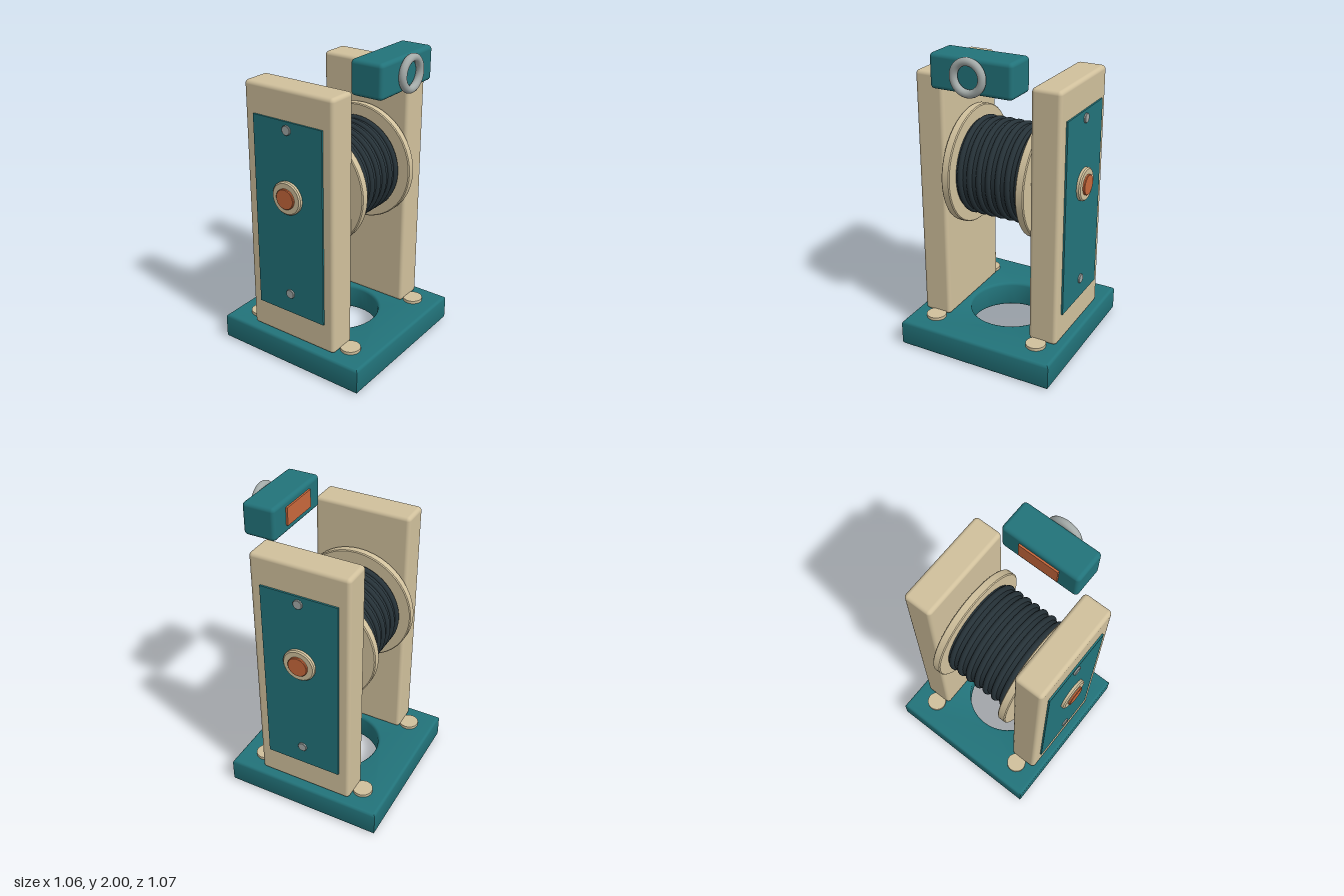
import * as THREE from 'three';
import { RoundedBoxGeometry } from 'three/addons/geometries/RoundedBoxGeometry.js';
import { toCreasedNormals } from 'three/addons/utils/BufferGeometryUtils.js';

const mat = (color) => new THREE.MeshStandardMaterial({ color });
const teal = mat(0x22737a), sand = mat(0xd0c09c), cable = mat(0x263238);
const orange = mat(0xc8683c), steel = mat(0xa3aaa8);
const AXIS_Y = 1.16;

export function createModel() {
  const model = new THREE.Group();
  model.name = 'cableReel';

  const add = (name, geometry, material, x = 0, y = 0, z = 0) => {
    const mesh = new THREE.Mesh(geometry, material);
    mesh.name = name;
    mesh.position.set(x, y, z);
    model.add(mesh);
    return mesh;
  };
  // Box given by its size, with rounded edges
  const rounded = (w, h, d, r) => new RoundedBoxGeometry(w, h, d, 3, r);
  // Disc along x with a small bevel on both rims
  const discX = (radius, width, bevel) => {
    const h = width / 2;
    const profile = [
      [0, -h], [radius - bevel, -h], [radius, -h + bevel],
      [radius, h - bevel], [radius - bevel, h], [0, h],
    ].map(([r, y]) => new THREE.Vector2(r, y));
    return toCreasedNormals(new THREE.LatheGeometry(profile, 48), 0.5).rotateZ(-Math.PI / 2);
  };

  // Base plate with a round opening and softened edges
  const bevel = 0.02, half = 0.53 - bevel;
  const plate = new THREE.Shape([
    [-half, -half], [half, -half], [half, half], [-half, half],
  ].map(([x, y]) => new THREE.Vector2(x, y)));
  const opening = new THREE.Path();
  opening.absarc(0, 0, 0.27 + bevel, 0, Math.PI * 2, true);
  plate.holes.push(opening);
  const baseGeometry = new THREE.ExtrudeGeometry(plate, {
    depth: 0.175 - 2 * bevel, bevelSize: bevel, bevelThickness: bevel,
    bevelSegments: 3, curveSegments: 24,
  });
  baseGeometry.rotateX(-Math.PI / 2);
  add('base', toCreasedNormals(baseGeometry, 0.7), teal, 0, bevel, 0);

  // Uprights with their side plates, screws, hubs and foot pegs
  for (const s of [1, -1]) {
    const side = s > 0 ? 'left' : 'right';
    add(`${side}Upright`, rounded(0.19, 1.645, 0.64, 0.025), sand, s * 0.385, 0.9975, 0);
    add(`${side}SidePlate`, new THREE.BoxGeometry(0.02, 1.26, 0.5), teal, s * 0.481, 1.0, 0);
    for (const y of [0.505, 1.58]) {
      add(`${side}Screw`, discX(0.03, 0.03, 0.003), steel, s * 0.487, y, 0);
    }
    add(`${side}Hub`, discX(0.105, 0.04, 0.008), sand, s * 0.495, AXIS_Y, 0);
    add(`${side}HubCap`, discX(0.065, 0.04, 0.004), orange, s * 0.508, AXIS_Y, 0);
    for (const z of [0.365, -0.365]) {
      add(`${side}FootPeg`, new THREE.CylinderGeometry(0.064, 0.064, 0.03, 32), sand, s * 0.365, 0.18, z);
    }
    add(`${side}Flange`, discX(0.385, 0.054, 0.006), sand, s * 0.252, AXIS_Y, 0);
  }

  // Spool with cable windings
  add('axle', discX(0.05, 0.9, 0.005), steel, 0, AXIS_Y, 0);
  add('cableDrum', discX(0.302, 0.46, 0.002), cable, 0, AXIS_Y, 0);
  const winding = new THREE.TorusGeometry(0.3, 0.019, 12, 64).rotateY(Math.PI / 2);
  for (let i = -3; i <= 3; i++) add('cableWinding', winding, cable, i * 0.065, AXIS_Y, 0);

  // Floating end block with pull ring and rear contact
  add('endBlock', rounded(0.53, 0.21, 0.215, 0.025), teal, 0, 1.885, 0.3825);
  add('pullRing', new THREE.TorusGeometry(0.091, 0.024, 16, 48), steel, 0, 1.885, 0.512);
  add('rearContact', new THREE.BoxGeometry(0.27, 0.115, 0.024), orange, 0, 1.89, 0.275);

  return model;
}
